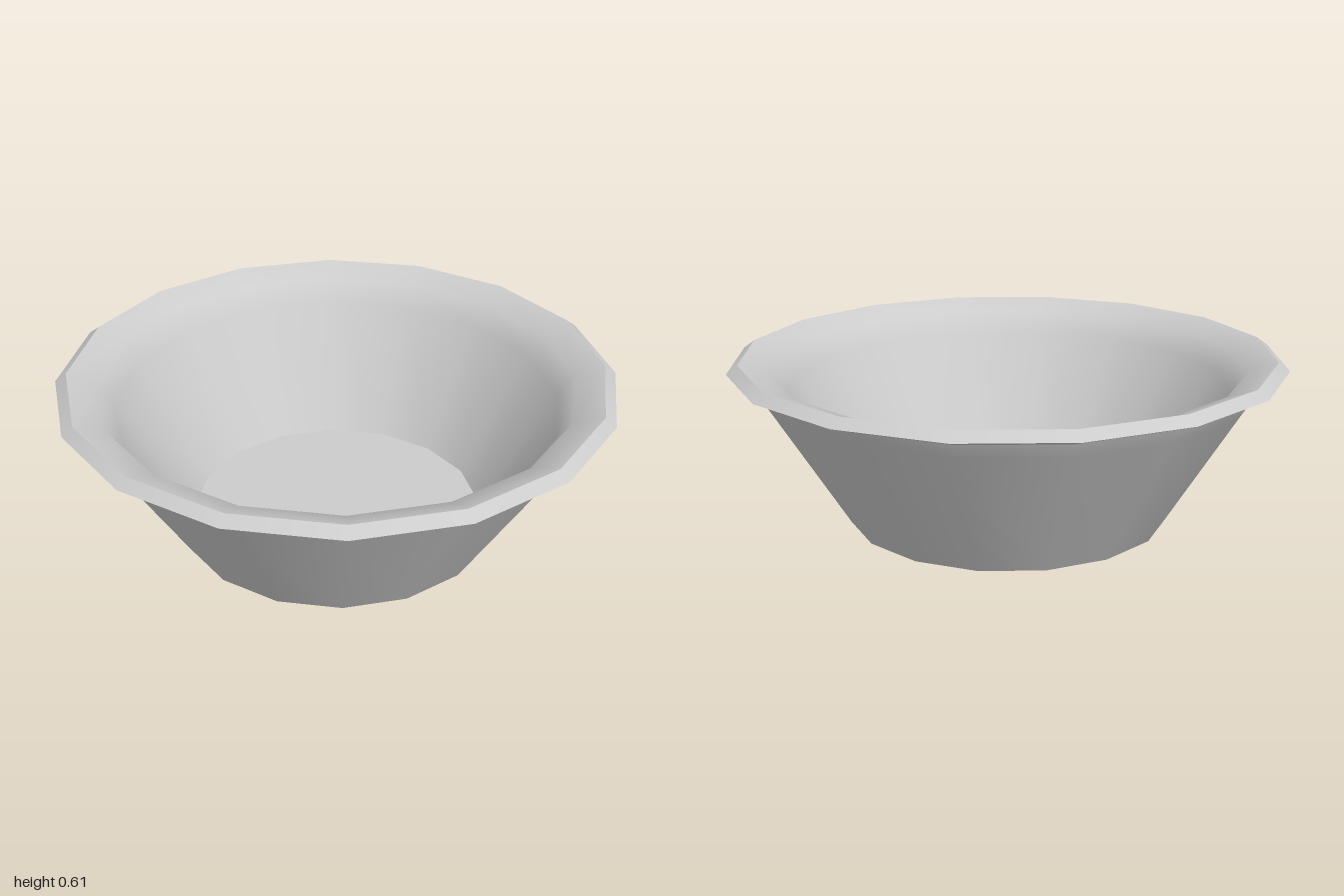
import * as THREE from 'three';

const SIDES = 16;

// Each strip is smooth within itself; edges between strips stay sharp.
// Points are [radius, height], running from the underside, over the rim, to the inner floor.
const STRIPS = {
  base: [[0, 0], [0.585, 0]],
  outerWall: [[0.585, 0], [0.895, 0.5], [0.92, 0.55]],
  rimUnderside: [[0.92, 0.55], [1, 0.58]],
  rimBevel: [[1, 0.58], [0.96, 0.61]],
  innerWall: [[0.96, 0.61], [0.855, 0.57], [0.8, 0.49], [0.533, 0.04]],
  innerFloor: [[0.533, 0.04], [0, 0.04]],
};

export function createModel() {
  const bowl = new THREE.Group();
  bowl.name = 'bowl';
  const material = new THREE.MeshStandardMaterial({ color: 0xcccccc });

  for (const [name, profile] of Object.entries(STRIPS)) {
    const points = profile.map(([r, y]) => new THREE.Vector2(r, y));
    const mesh = new THREE.Mesh(new THREE.LatheGeometry(points, SIDES), material);
    mesh.name = name;
    bowl.add(mesh);
  }
  return bowl;
}
